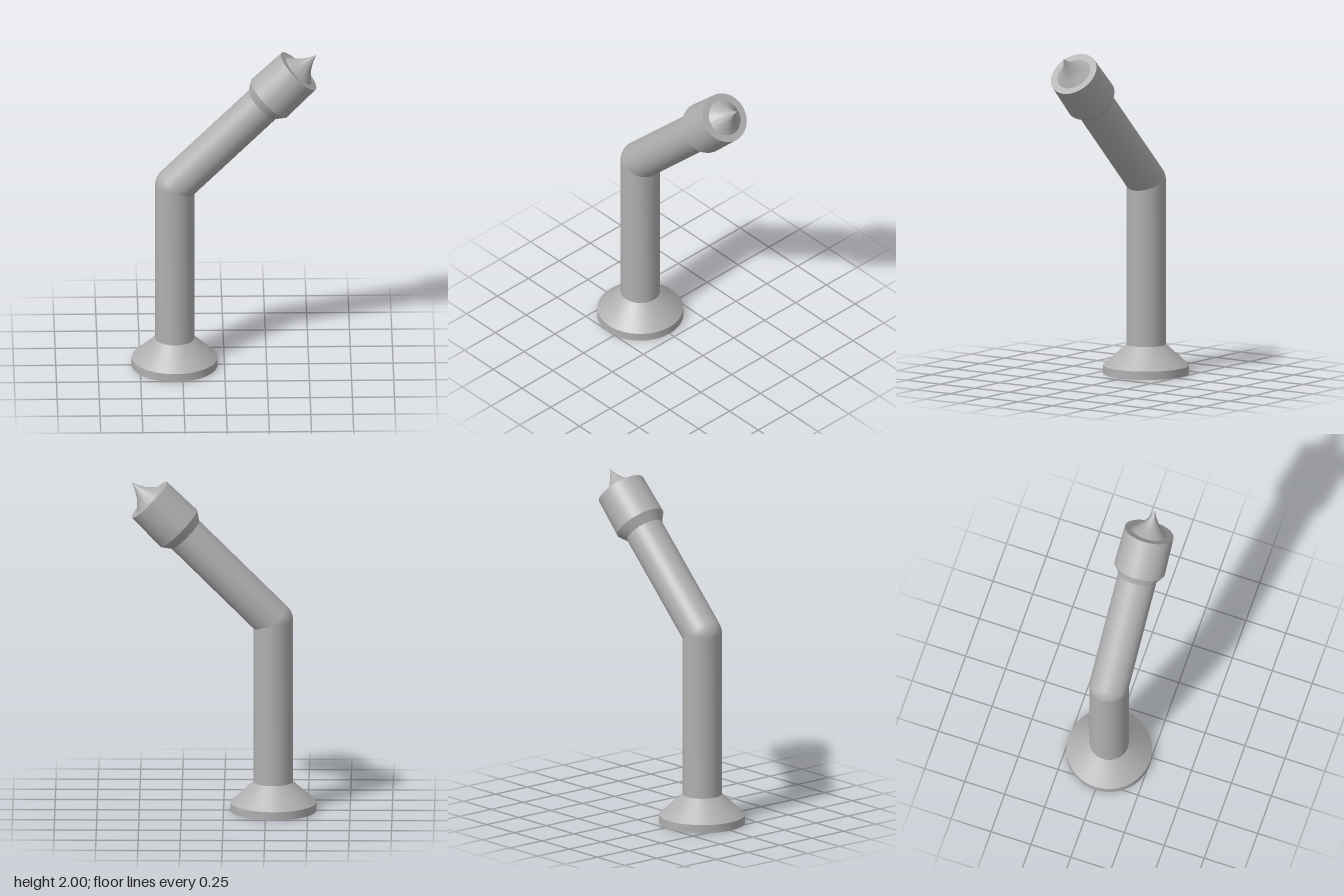
import * as THREE from 'three';
import { toCreasedNormals } from 'three/addons/utils/BufferGeometryUtils.js';

const PIPE = 0.117;                    // pipe radius
const AXIS_X = -0.295, ELBOW_Y = 1.16; // post axis and bend height

export function createModel() {
  const model = new THREE.Group();
  model.name = 'bentPipe';
  const metal = new THREE.MeshStandardMaterial({ color: 0xb0b0b0 });
  metal.name = 'greyMetal';

  const add = (parent, name, geometry) => {
    const mesh = new THREE.Mesh(geometry, metal);
    mesh.name = name;
    parent.add(mesh);
    return mesh;
  };
  // Turned part from [radius, height] pairs, bottom to top, with sharp rims
  const turned = (points) => toCreasedNormals(
    new THREE.LatheGeometry(points.map(([r, y]) => new THREE.Vector2(r, y)), 48), 0.5);

  // Upright half: flared foot and post
  const upright = new THREE.Group();
  upright.name = 'upright';
  upright.position.x = AXIS_X;
  model.add(upright);
  add(upright, 'foot', turned([[0, 0], [0.255, 0], [0.255, 0.05], [PIPE, 0.175]]));
  add(upright, 'post', turned([[PIPE, 0.17], [PIPE, ELBOW_Y]]));
  add(upright, 'elbow', new THREE.SphereGeometry(PIPE, 48, 24)).position.y = ELBOW_Y;

  // Tilted half, built along y and leaned 45 degrees towards +x
  const arm = new THREE.Group();
  arm.name = 'arm';
  arm.position.set(AXIS_X, ELBOW_Y, 0);
  arm.rotation.z = -Math.PI / 4;
  model.add(arm);
  add(arm, 'armPipe', turned([[PIPE, 0], [PIPE, 0.742]]));
  add(arm, 'head', turned([[PIPE, 0.738], [0.154, 0.793], [0.149, 1.039], [0, 1.039]]));
  // Concave pointed tip
  add(arm, 'spike', turned([
    [0.108, 1.038], [0.074, 1.069], [0.046, 1.099], [0.019, 1.142], [0, 1.188],
  ]));

  return model;
}
